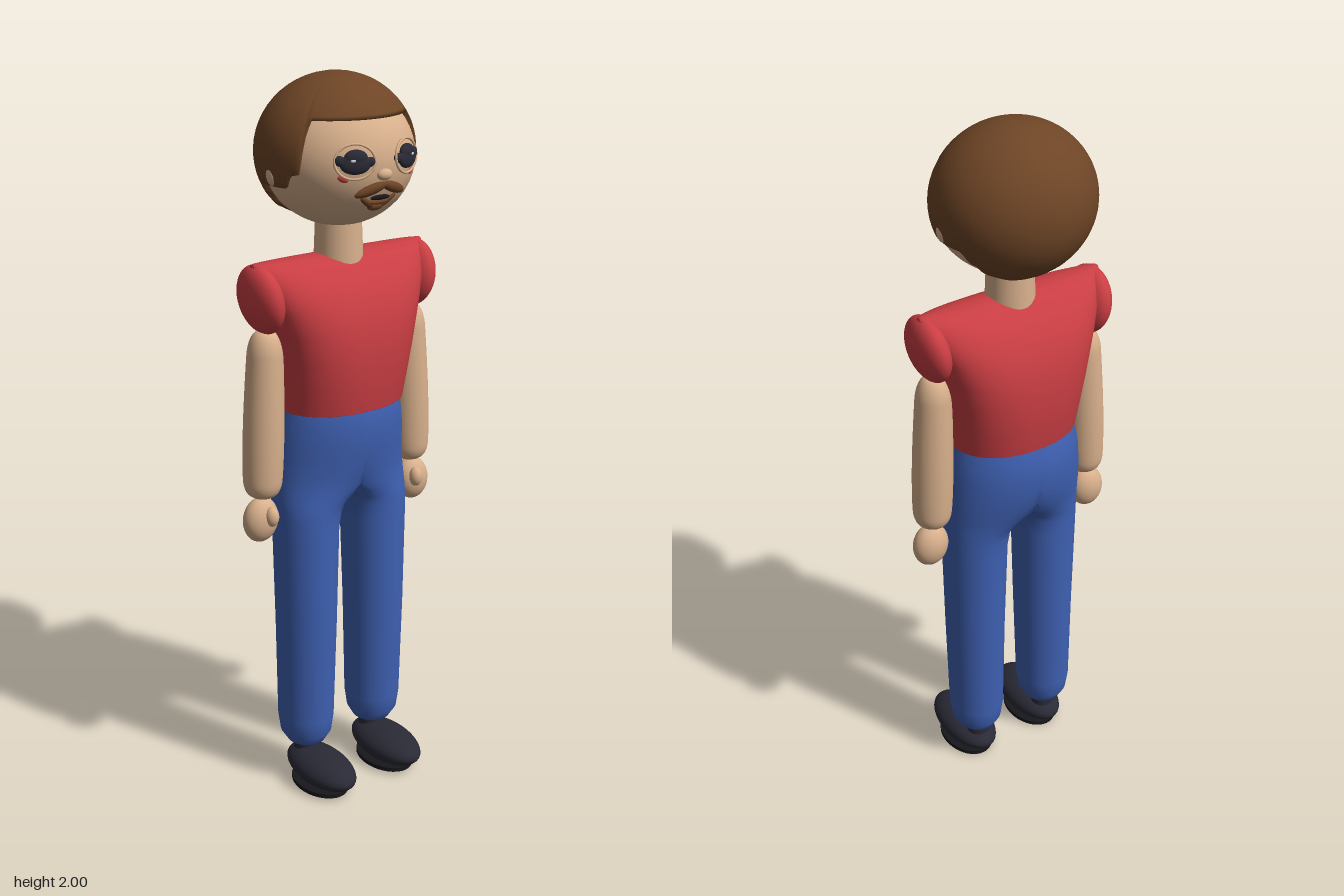
import * as THREE from 'three';
import { mergeVertices } from 'three/addons/utils/BufferGeometryUtils.js';

const material = (name, color, side = THREE.FrontSide) =>
  Object.assign(new THREE.MeshStandardMaterial({ color, side }), { name });

// Skin over one or more stacks of rings (each ring ascending in y); shared seams are welded.
function loft(stacks) {
  const pos = [], index = [];
  for (const { rings, flip, skip } of stacks) {
    const base = pos.length / 3, n = rings[0].length;
    rings.forEach(r => r.forEach(p => pos.push(...p)));
    const tri = (a, b, c) => {
      if (skip && [a, b, c].every(k => Math.abs(pos[k * 3]) < 1e-5)) return;
      flip ? index.push(a, c, b) : index.push(a, b, c);
    };
    for (let i = 0; i < rings.length - 1; i++) {
      for (let j = 0; j < n; j++) {
        const k = (j + 1) % n;
        const a = base + i * n + j, b = a + n, c = base + i * n + k, d = c + n;
        tri(a, b, c);
        tri(b, d, c);
      }
    }
  }
  const geo = new THREE.BufferGeometry();
  geo.setAttribute('position', new THREE.Float32BufferAttribute(pos, 3));
  geo.setIndex(index);
  const welded = mergeVertices(geo, 1e-5);
  welded.computeVertexNormals();
  return welded;
}

const ringOf = (n, fn) => Array.from({ length: n }, (_, j) => fn((j / n) * Math.PI * 2));
const spow = (v, e) => Math.sign(v) * Math.abs(v) ** e;

export function createModel() {
  const model = new THREE.Group();
  model.name = 'standingMan';
  const skin = material('skin', 0xd8b08c);
  const hairBrown = material('hairBrown', 0x6e4526, THREE.DoubleSide);
  const red = material('shirtRed', 0xc93e43);
  const blue = material('trouserBlue', 0x3f61b3);
  const dark = material('shoeDark', 0x2a2a36);
  const black = material('soleBlack', 0x17171c);
  const white = material('eyeGlint', 0xc9ccd6);

  const add = (name, geo, mat, x = 0, y = 0, z = 0) => {
    const mesh = new THREE.Mesh(geo, mat);
    mesh.name = name;
    mesh.position.set(x, y, z);
    model.add(mesh);
    return mesh;
  };
  const ball = new THREE.SphereGeometry(1, 36, 24);
  const blob = (name, mat, x, y, z, rx, ry, rz) => {
    const mesh = add(name, ball, mat, x, y, z);
    mesh.scale.set(rx, ry, rz);
    return mesh;
  };

  // Head, neck
  const H = { y: 1.79, rx: 0.2, ry: 0.18, rz: 0.195 };
  blob('head', skin, 0, H.y, 0, H.rx, H.ry, H.rz);
  add('neck', new THREE.CylinderGeometry(0.06, 0.066, 0.14, 36), skin, 0, 1.585, 0);

  // Turn a mesh to lie on the face at (x, y)
  const onFace = (mesh, x, y, lift = 0, roll = 0) => {
    const z = H.rz * Math.sqrt(1 - (x / H.rx) ** 2 - ((y - H.y) / H.ry) ** 2);
    const normal = new THREE.Vector3(x / H.rx ** 2, (y - H.y) / H.ry ** 2, z / H.rz ** 2).normalize();
    mesh.position.set(x, y, z).addScaledVector(normal, lift);
    mesh.lookAt(mesh.position.clone().add(normal));
    mesh.rotateZ(roll);
  };
  const faceBlob = (name, mat, x, y, size, lift = 0, roll = 0) =>
    onFace(blob(name, mat, 0, 0, 0, ...size), x, y, lift, roll);

  // Hair cap: lower edge given as [degrees from the front, height]
  const hairline = [[0, 1.9], [55, 1.9], [59, 1.77], [67, 1.765], [73, 1.73], [109, 1.73],
    [113, 1.695], [118, 1.69], [121, 1.66], [130, 1.65], [146, 1.625], [180, 1.62]];
  const edgeHeight = deg => {
    const i = Math.max(1, hairline.findIndex(h => h[0] >= deg));
    const [d0, y0] = hairline[i - 1], [d1, y1] = hairline[i];
    return y0 + (y1 - y0) * (deg - d0) / (d1 - d0);
  };
  const hairPoint = (a, u, k) => {
    const deg = Math.abs(THREE.MathUtils.radToDeg(Math.atan2(Math.sin(a), Math.cos(a))));
    const th = u * Math.acos((edgeHeight(Math.min(deg, 179.99)) - 1.8) / 0.2);
    return [0.215 * k * Math.sin(th) * Math.sin(a), 1.8 + 0.2 * Math.cos(th),
      -0.015 + 0.2 * k * Math.sin(th) * Math.cos(a)];
  };
  const hairRings = [ringOf(180, a => hairPoint(-a, 1, 0.9))];
  for (let i = 20; i >= 0; i--) hairRings.push(ringOf(180, a => hairPoint(-a, i / 20, 1)));
  add('hair', loft([{ rings: hairRings }]), hairBrown);

  // Face
  const lidGeo = new THREE.TorusGeometry(1, 0.07, 8, 36);
  for (const s of [1, -1]) {
    blob('ear', skin, s * 0.198, 1.76, -0.008, 0.016, 0.03, 0.021);
    faceBlob('eye', dark, s * 0.08, 1.8, [0.04, 0.026, 0.012], 0.003);
    faceBlob('upperLash', dark, s * 0.078, 1.815, [0.03, 0.02, 0.012], 0.004);
    faceBlob('outerLash', dark, s * 0.112, 1.807, [0.018, 0.013, 0.01], 0.003, s * 0.4);
    faceBlob('innerLash', dark, s * 0.045, 1.803, [0.016, 0.012, 0.01], 0.003, -s * 0.3);
    faceBlob('eyeGlint', white, s * 0.086, 1.808, [0.007, 0.004, 0.003], 0.014);
    const lid = add('eyelid', lidGeo, skin);
    lid.scale.set(0.052, 0.043, 0.05);
    onFace(lid, s * 0.08, 1.805);
    faceBlob('cheekMark', red, s * 0.106, 1.763, [0.014, 0.008, 0.004], 0.001, s * 0.4);
    faceBlob('moustache', hairBrown, s * 0.034, 1.733, [0.046, 0.014, 0.011], 0.003, -s * 0.35);
    faceBlob('beardSide', hairBrown, s * 0.03, 1.695, [0.03, 0.009, 0.007], 0, s * 0.7);
  }
  faceBlob('nose', skin, 0, 1.768, [0.022, 0.015, 0.014]);
  faceBlob('mouth', black, 0, 1.709, [0.03, 0.007, 0.006], 0.002);
  faceBlob('lowerLip', hairBrown, 0, 1.697, [0.03, 0.007, 0.008], 0.001);
  faceBlob('goatee', hairBrown, 0, 1.682, [0.024, 0.012, 0.009]);

  // Shirt: [height, half width, half depth]
  const shirtRows = [[1.13, 0, 0], [1.13, 0.183, 0.14], [1.131, 0.184, 0.141], [1.2, 0.19, 0.151],
    [1.28, 0.2, 0.156], [1.35, 0.213, 0.151], [1.41, 0.23, 0.137], [1.46, 0.248, 0.113],
    [1.5, 0.262, 0.084], [1.525, 0.271, 0.055], [1.537, 0.273, 0.028], [1.54, 0.268, 0]];
  const shirtRings = shirtRows.map(([y, rx, rz]) => ringOf(64, t => {
    const e = 2 / (2.2 + 0.8 * THREE.MathUtils.clamp((y - 1.13) / 0.3, 0, 1));
    return [rx * spow(Math.cos(t), e), y, rz * spow(Math.sin(t), e)];
  }));
  add('shirt', loft([{ rings: shirtRings }]), red);

  // Trousers: each half is [height, inner x, outer x, back z, front z], cut off at the middle
  const trouserRows = [[0.103, 0.117, 0.117, 0, 0], [0.106, 0.09, 0.145, -0.025, 0.03],
    [0.12, 0.064, 0.171, -0.055, 0.06], [0.15, 0.047, 0.19, -0.072, 0.079],
    [0.2, 0.04, 0.197, -0.079, 0.086], [0.5, 0.033, 0.201, -0.084, 0.097],
    [0.78, 0.024, 0.206, -0.09, 0.1], [0.83, 0.015, 0.206, -0.093, 0.101],
    [0.855, 0, 0.206, -0.098, 0.102], [0.88, -0.04, 0.206, -0.105, 0.104],
    [0.91, -0.1, 0.205, -0.118, 0.109], [0.95, -0.16, 0.203, -0.136, 0.118],
    [1, -0.2, 0.2, -0.149, 0.131], [1.05, -0.196, 0.196, -0.152, 0.137],
    [1.09, -0.19, 0.19, -0.149, 0.138], [1.13, -0.182, 0.182, -0.139, 0.135],
    [1.16, -0.175, 0.175, -0.13, 0.125]];
  const halfTrousers = s => ({
    flip: s < 0, skip: true,
    rings: trouserRows.map(([y, xi, xo, zb, zf]) => ringOf(72, t => [
      s * Math.max(0, (xi + xo) / 2 + (xo - xi) / 2 * Math.cos(t)), y,
      (zb + zf) / 2 + (zf - zb) / 2 * Math.sin(t)])),
  });
  add('trousers', loft([halfTrousers(1), halfTrousers(-1)]), blue);

  // Limbs
  const armProfile = [[0, 0], [0.03, 0.004], [0.048, 0.025], [0.054, 0.07], [0.055, 0.2],
    [0.05, 0.36], [0.045, 0.42], [0.028, 0.455], [0, 0.465]].map(p => new THREE.Vector2(...p));
  const armGeo = new THREE.LatheGeometry(new THREE.SplineCurve(armProfile).getPoints(40)
    .map(p => p.setX(Math.max(0, p.x))), 36);
  const soleGeo = new THREE.CylinderGeometry(1, 1, 0.012, 36);
  for (const s of [1, -1]) {
    blob('sleeve', red, s * 0.246, 1.445, 0, 0.046, 0.093, 0.088).rotation.z = -s * 0.15;
    add('arm', armGeo, skin, s * 0.252, 0.9, 0).rotation.z = s * 0.04;
    blob('hand', skin, s * 0.259, 0.837, 0, 0.051, 0.063, 0.04).rotation.z = s * 0.1;
    blob('thumb', skin, s * 0.246, 0.853, 0.036, 0.019, 0.028, 0.02);
    add('ankle', new THREE.CylinderGeometry(0.035, 0.035, 0.05, 24), dark, s * 0.117, 0.1, 0);
    blob('shoe', dark, s * 0.117, 0.056, 0.077, 0.073, 0.047, 0.137);
    add('sole', soleGeo, black, s * 0.117, 0.006, 0.07).scale.set(0.07, 1, 0.1);
  }
  return model;
}
